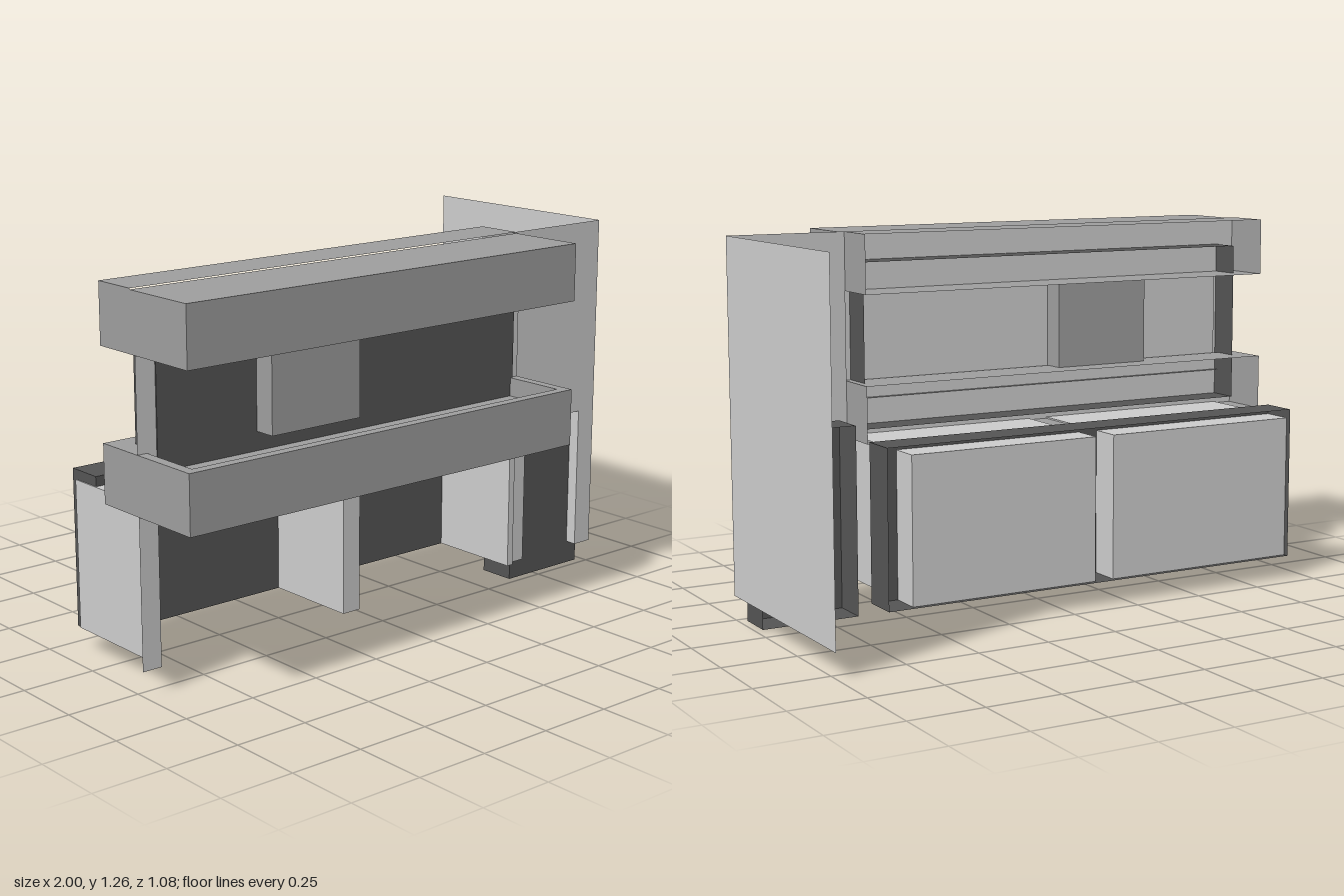
import * as THREE from 'three';
import { mergeGeometries } from 'three/addons/utils/BufferGeometryUtils.js';

const make = (color) => new THREE.MeshStandardMaterial({ color, side: THREE.DoubleSide, flatShading: true });

export function createModel() {
  const group = new THREE.Group();
  const light = make(0xcccccc), mid = make(0x9d9d9d), dark = make(0x545454);

  const add = (name, geometry, material) => {
    const mesh = new THREE.Mesh(geometry, material);
    mesh.name = name;
    group.add(mesh);
    return mesh;
  };

  // Open box made of chosen sides: f(ront) k(back) l(+x) r(-x) t(op) b(ottom)
  const shell = (name, material, [x0, x1], [y0, y1], [z0, z1], sides) => {
    const w = x1 - x0, h = y1 - y0, d = z1 - z0;
    const cx = (x0 + x1) / 2, cy = (y0 + y1) / 2, cz = (z0 + z1) / 2;
    const plane = {
      f: () => new THREE.PlaneGeometry(w, h).translate(cx, cy, z1),
      k: () => new THREE.PlaneGeometry(w, h).rotateY(Math.PI).translate(cx, cy, z0),
      l: () => new THREE.PlaneGeometry(d, h).rotateY(Math.PI / 2).translate(x1, cy, cz),
      r: () => new THREE.PlaneGeometry(d, h).rotateY(-Math.PI / 2).translate(x0, cy, cz),
      t: () => new THREE.PlaneGeometry(w, d).rotateX(-Math.PI / 2).translate(cx, y1, cz),
      b: () => new THREE.PlaneGeometry(w, d).rotateX(Math.PI / 2).translate(cx, y0, cz),
    };
    return add(name, mergeGeometries([...sides].map((s) => plane[s]())), material);
  };

  // Flat upright sheet with rectangular openings
  const rect = (target, x0, x1, y0, y1) => {
    target.moveTo(x0, y0).lineTo(x1, y0).lineTo(x1, y1).lineTo(x0, y1).closePath();
    return target;
  };
  const sheet = (name, outline, holes, z) => {
    const shape = rect(new THREE.Shape(), ...outline);
    for (const h of holes) shape.holes.push(rect(new THREE.Path(), ...h));
    return add(name, new THREE.ShapeGeometry(shape).translate(0, 0, z), light);
  };

  const span = [-1, 0.585], base = 0.08, top = 1.262;
  const bays = [[-0.93, -0.2], [-0.13, 0.56]];

  // Shop facade: two ground-floor bays reaching the ground, one wide window opening above
  sheet('pillarLeftEdge', [0.56, 0.585, base, 0.575], [], 0.28);
  sheet('pillarMiddle', [-0.2, -0.13, base, 0.575], [], 0.28);
  sheet('pillarRightEdge', [-1, -0.93, base, 0.575], [], 0.28);
  sheet('upperFacade', [-1, 0.585, 0.575, 1.25], [[-0.915, 0.55, 0.76, 1.065]], 0.28);
  shell('pillarReturn', light, span, [base, 0.575], [0.26, 0.28], 'l');

  // Recessed bays and the dark shutter tray crossing them
  for (const bay of bays) shell('shopBay', light, bay, [base, 0.577], [-0.17, 0.28], 'klrt');
  shell('shutter', dark, [-0.926, 0.655], [base, 0.61], [-0.19, -0.06], 'flrtb');

  // Upper window, its backing, and the cabinet that stands through it
  shell('windowTray', dark, [-0.93, 0.56], [0.61, 1.165], [0.17, 0.284], 'flrtb');
  shell('windowBacking', light, [-0.915, 0.55], [0.76, 1.065], [0.27, 0.28], 'k');
  shell('windowCabinet', mid, [-0.555, -0.2], [0.762, 1.062], [0.19, 0.36], 'fklrtb');

  // Roof band: closed front half, open channel behind
  shell('roofFront', mid, span, [1.065, 1.258], [0.262, 0.538], 'flrtb');
  shell('roofBack', mid, span, [1.065, top], [0.1, 0.262], 'lrtb');

  // Balcony: rimmed tray in front, open channel behind
  const rim = 0.035, by = [0.572, 0.764], bz = [0.262, 0.538];
  const inner = [span[0] + rim, span[1] - rim], innerZ = bz[1] - rim;
  shell('balconyOuter', mid, span, by, bz, 'flrb');
  shell('balconyInner', mid, inner, [0.7, by[1]], [bz[0], innerZ], 'flrb');
  shell('balconyRimFront', mid, span, by, [innerZ, bz[1]], 't');
  shell('balconyRimRight', mid, [span[0], inner[0]], by, [bz[0], innerZ], 't');
  shell('balconyRimLeft', mid, [inner[1], span[1]], by, [bz[0], innerZ], 't');
  shell('balconyBack', mid, span, by, [0.1, 0.262], 'lrtb');

  // Tall stair block: front wall around the door, and the long side wall
  sheet('entranceWall', [0.585, 0.655, base, top], [], 0.26);
  sheet('entranceWall', [0.925, 1, base, top], [], 0.26);
  sheet('entranceWall', [0.655, 0.925, 0.58, top], [], 0.26);
  shell('sideWall', light, [0.585, 1], [base, top], [-0.538, 0.26], 'l');

  // Door reveal with a splayed head, and the dark door tray with its step
  shell('doorReveal', light, [0.655, 0.925], [base, 0.58], [0.22, 0.26], 'lr');
  const head = new THREE.Shape();
  head.moveTo(0.585, -0.26).lineTo(1, -0.26).lineTo(0.925, -0.22).lineTo(0.655, -0.22).closePath();
  add('doorHead', new THREE.ShapeGeometry(head).rotateX(-Math.PI / 2).translate(0, 0.58, 0), light);
  shell('door', dark, [0.632, 0.972], [0, 0.64], [0.09, 0.22], 'flrtb');

  return group;
}
